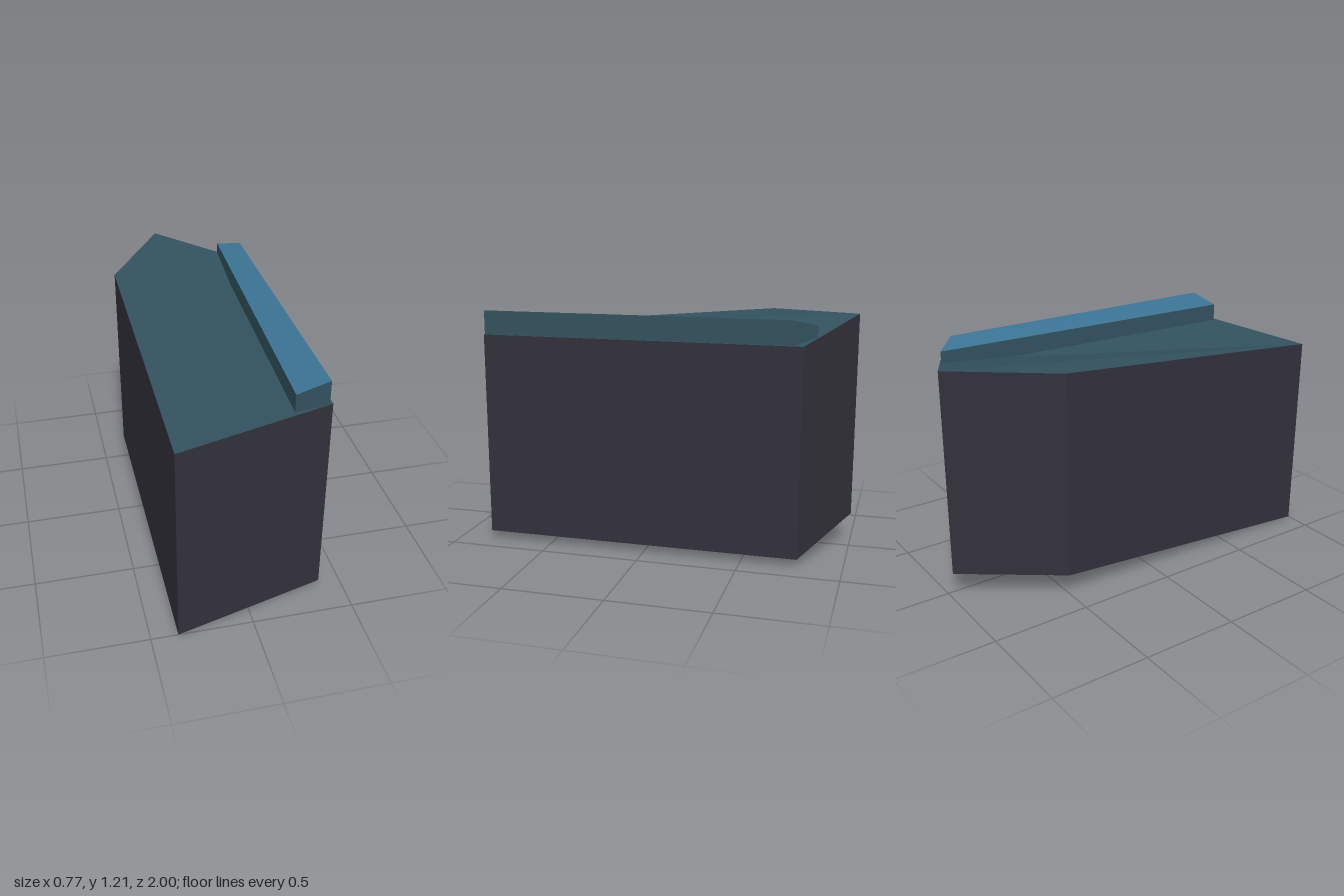
import * as THREE from 'three';

const flat = (name, color) => {
  const m = new THREE.MeshStandardMaterial({ color });
  m.name = name;
  return m;
};

// Faceted prism from corners [x, z, bottomY, topY], counter-clockwise seen from above.
// Group 0 holds the walls and underside, group 1 the top.
function facetedPrism(corners) {
  const lo = corners.map(([x, z, y]) => [x, y, z]);
  const hi = corners.map(([x, z, , y]) => [x, y, z]);
  const n = corners.length;
  const pos = [];
  const tri = (a, b, c) => pos.push(...a, ...b, ...c);
  for (let i = 0; i < n; i++) {
    const j = (i + 1) % n;
    tri(lo[i], lo[j], hi[j]);
    tri(lo[i], hi[j], hi[i]);
  }
  for (let i = 1; i < n - 1; i++) tri(lo[0], lo[i + 1], lo[i]);
  const wallCount = pos.length / 3;
  for (let i = 1; i < n - 1; i++) tri(hi[0], hi[i], hi[i + 1]);
  const g = new THREE.BufferGeometry();
  g.setAttribute('position', new THREE.Float32BufferAttribute(pos, 3));
  g.computeVertexNormals();
  g.addGroup(0, wallCount, 0);
  g.addGroup(wallCount, pos.length / 3 - wallCount, 1);
  return g;
}

export function createModel() {
  const charcoal = flat('charcoal', 0x32313a);
  const slateTeal = flat('slate teal', 0x32525e);
  const blue = flat('blue', 0x3a7394);

  const group = new THREE.Group();
  group.name = 'facetedBlock';

  // Five-sided block with a sloping top and underside
  const body = new THREE.Mesh(facetedPrism([
    [-0.367, 1.0, 0.0, 1.047],
    [0.381, 0.835, 0.04, 1.085],
    [0.381, -0.78, 0.04, 1.085],
    [-0.075, -1.0, 0.15, 1.195],
    [-0.385, -0.52, 0.13, 1.177],
  ]), [charcoal, slateTeal]);
  body.name = 'body';

  // Raised strip along the left edge, its foot sunk into the body
  const ridge = new THREE.Mesh(facetedPrism([
    [0.2, 0.853, 1.05, 1.167],
    [0.365, 0.837, 1.05, 1.205],
    [0.365, -0.722, 1.05, 1.205],
    [0.258, -0.832, 1.05, 1.17],
  ]), [slateTeal, blue]);
  ridge.name = 'ridge';

  group.add(body, ridge);
  return group;
}
